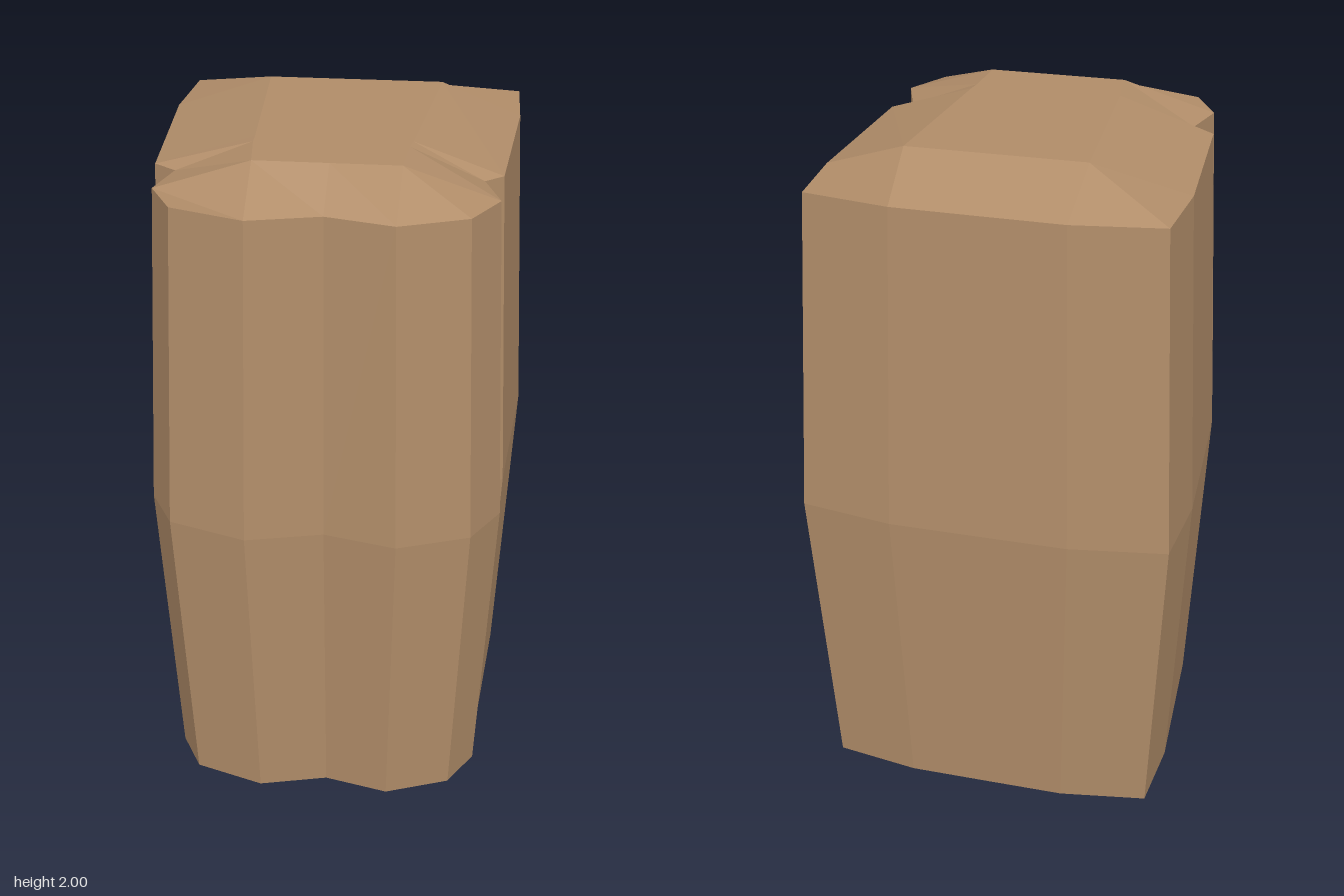
import * as THREE from 'three';

// Outline at the widest height, as a grid: 6 rows back to front, 5 columns right (-x) to left (+x).
// Outer cells lie on the rim, inner cells on the flat crown.
const backEdge = [[-0.505, -0.53], [-0.235, -0.57], [0.01, -0.568], [0.265, -0.565], [0.526, -0.522]];
const frontEdge = [[-0.424, 0.492], [-0.208, 0.563], [0.004, 0.515], [0.204, 0.563], [0.403, 0.492]];
const rightSide = [[-0.532, -0.297], [-0.517, 0.185], [-0.451, 0.23], [-0.493, 0.364]];
const leftSide = [[0.53, -0.302], [0.487, 0.186], [0.433, 0.228], [0.481, 0.364]];
// Crown rows: z, then x of the right, middle and left points
const crown = [[-0.31, -0.225, 0.01, 0.262], [0.153, -0.208, 0.004, 0.207], [0.19, -0.208, 0.004, 0.2], [0.32, -0.195, 0.004, 0.19]];
const RIM = 0.916;

function triangles(quads) {
  const pos = [];
  for (const [a, b, c, d] of quads) pos.push(...a, ...b, ...c, ...a, ...c, ...d);
  const g = new THREE.BufferGeometry();
  g.setAttribute('position', new THREE.Float32BufferAttribute(pos, 3));
  g.computeVertexNormals();
  return g;
}

export function createModel() {
  const group = new THREE.Group();
  group.name = 'block';
  const brown = new THREE.MeshStandardMaterial({ color: 0xb18d69, flatShading: true });
  brown.name = 'warm brown';
  const add = (name, quads) => {
    const mesh = new THREE.Mesh(triangles(quads), brown);
    mesh.name = name;
    group.add(mesh);
  };

  // Bulging side wall: counter-clockwise seen from above, in two bands
  const loop = [...frontEdge, ...[...leftSide].reverse(), ...[...backEdge].reverse(), ...rightSide];
  const at = ([x, z], s, y) => [x * s, y, z * s];
  const wall = [];
  for (const [y0, s0, y1, s1] of [[0.08, RIM, 1, 1], [1, 1, 1.92, RIM]]) {
    loop.forEach((p, i) => {
      const q = loop[(i + 1) % loop.length];
      wall.push([at(p, s0, y0), at(q, s0, y0), at(q, s1, y1), at(p, s1, y1)]);
    });
  }
  add('sideWall', wall);

  // Domed caps: the rim rises to a flat crown; the bottom mirrors the top
  for (const [name, rimY, crownY] of [['topCap', 1.92, 2], ['bottomCap', 0.08, 0]]) {
    const rim = p => at(p, RIM, rimY);
    const grid = [
      backEdge.map(rim),
      ...crown.map(([z, ...xs], i) => [rim(rightSide[i]), ...xs.map(x => [x, crownY, z]), rim(leftSide[i])]),
      frontEdge.map(rim),
    ];
    const quads = [];
    for (let r = 0; r < 5; r++) {
      for (let c = 0; c < 4; c++) {
        const quad = [grid[r][c], grid[r + 1][c], grid[r + 1][c + 1], grid[r][c + 1]];
        quads.push(crownY > rimY ? quad : quad.reverse());
      }
    }
    add(name, quads);
  }
  return group;
}
